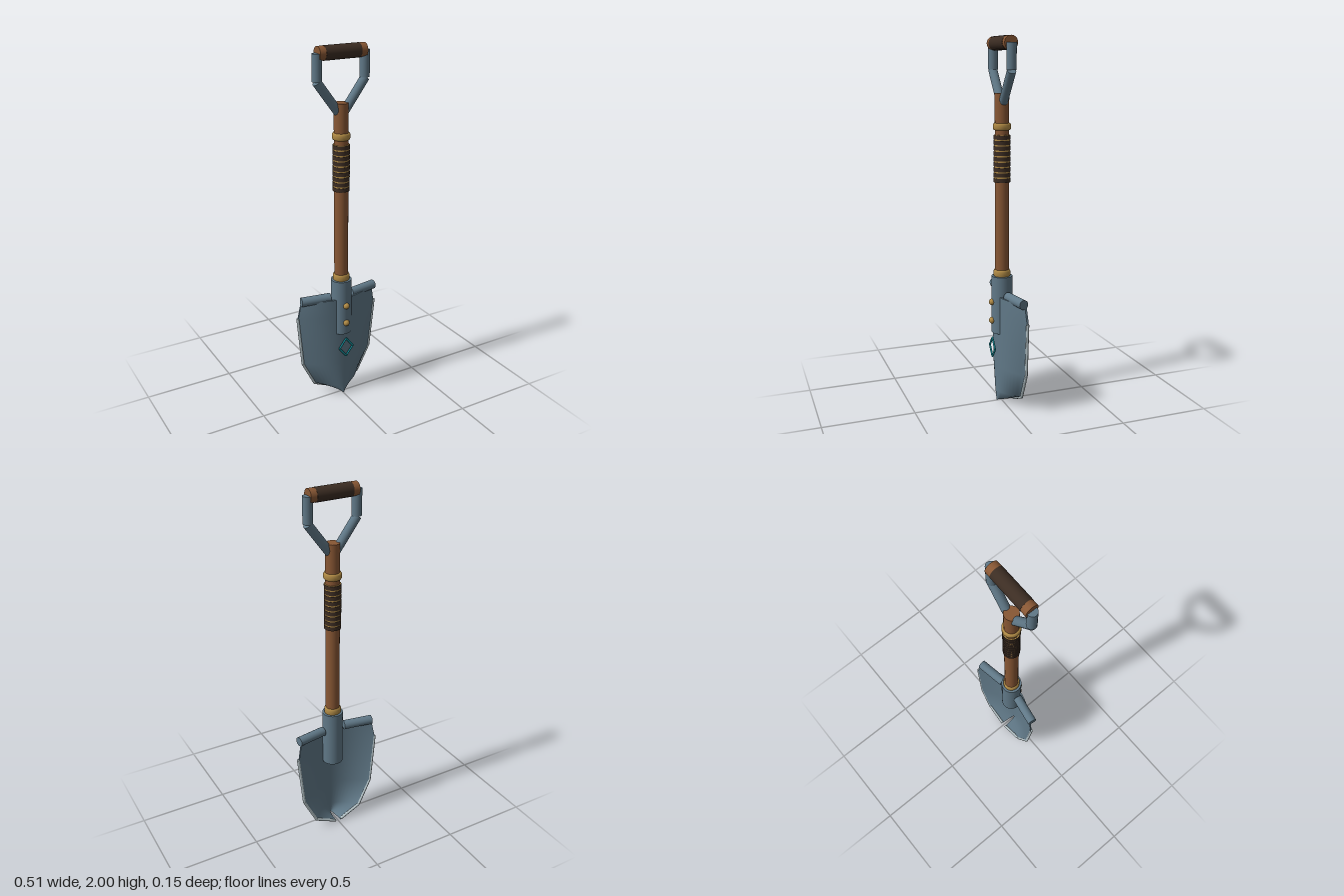
import * as THREE from 'three';

const mat = (name, color, side = THREE.FrontSide) => {
  const m = new THREE.MeshStandardMaterial({ color, side });
  m.name = name;
  return m;
};

export function createModel() {
  const steel = mat('steel', 0x607887);
  const edgeSteel = mat('edgeSteel', 0xb4c2c6);
  const wood = mat('wood', 0x885734);
  const leather = mat('leather', 0x3c2d23);
  const brass = mat('brass', 0xb08a45);
  const teal = mat('teal', 0x148c98);

  const model = new THREE.Group();
  model.name = 'shovel';
  const Z = -0.003; // axis of the shaft
  const V = (x, y, z = Z) => new THREE.Vector3(x, y, z);

  const add = (name, geometry, material) => {
    const mesh = new THREE.Mesh(geometry, material);
    mesh.name = name;
    model.add(mesh);
    return mesh;
  };
  // Straight round bar between two points
  const rod = (name, a, b, r, material, sides = 20) => {
    const d = b.clone().sub(a);
    const mesh = add(name, new THREE.CylinderGeometry(r, r, d.length(), sides), material);
    mesh.position.copy(a).add(b).multiplyScalar(0.5);
    mesh.quaternion.setFromUnitVectors(new THREE.Vector3(0, 1, 0), d.normalize());
    return mesh;
  };
  // Upright bar on the shaft axis
  const post = (name, y0, y1, r, material) => rod(name, V(0, y0), V(0, y1), r, material, 28);
  // Bevelled band around the shaft
  const collar = (name, y, r, h) => {
    const pts = [[0.036, -h], [r - 0.005, -h], [r, -h * 0.5], [r, h * 0.5], [r - 0.005, h], [0.036, h]];
    const geo = new THREE.LatheGeometry(pts.map(([x, py]) => new THREE.Vector2(x, py)), 28);
    add(name, geo, brass).position.set(0, y, Z);
  };

  // Blade: bowed cross-sections [y, half width, z of the edge], closed into a thin shell
  const rows = [[0.62, 0.225, -0.047], [0.52, 0.244, -0.053], [0.22, 0.215, -0.058],
    [0.07, 0.14, -0.062], [0.01, 0.014, -0.065]];
  const N = 20, thick = 0.01;
  const pos = [], idx = [];
  for (const back of [0, 1]) {
    for (const [y, w, ze] of rows) {
      for (let i = 0; i <= N; i++) {
        const u = (i / N) * 2 - 1;
        pos.push(u * w, y, 0.03 + (ze - 0.03) * u * u - back * thick);
      }
    }
  }
  const S = N + 1, B = rows.length * S;
  const quad = (a, b, c, d) => idx.push(a, b, c, a, c, d);
  for (let r = 0; r < rows.length - 1; r++) {
    for (let i = 0; i < N; i++) {
      const a = r * S + i, c = a + S;
      quad(a, c, c + 1, a + 1);
      quad(B + a, B + a + 1, B + c + 1, B + c);
    }
  }
  const bladeGeo = new THREE.BufferGeometry();
  bladeGeo.setAttribute('position', new THREE.Float32BufferAttribute(pos, 3));
  bladeGeo.setIndex(idx);
  bladeGeo.computeVertexNormals();
  add('blade', bladeGeo, steel);

  // Rim closing the gap between the two blade skins
  const loop = [];
  for (let i = 0; i < N; i++) loop.push(i);
  for (let r = 0; r < rows.length - 1; r++) loop.push(r * S + N);
  for (let i = N; i > 0; i--) loop.push((rows.length - 1) * S + i);
  for (let r = rows.length - 1; r > 0; r--) loop.push(r * S);
  const rim = [];
  loop.forEach((a, k) => {
    const b = loop[(k + 1) % loop.length];
    for (const v of [a, b, B + b, a, B + b, B + a]) rim.push(...pos.slice(v * 3, v * 3 + 3));
  });
  const rimGeo = new THREE.BufferGeometry();
  rimGeo.setAttribute('position', new THREE.Float32BufferAttribute(rim, 3));
  rimGeo.computeVertexNormals();
  const rimMesh = add('bladeRim', rimGeo, steel);
  // Outward winding: front edge to back edge runs clockwise around the outline
  rimMesh.material = steel;
  for (let t = 0, p = rimGeo.attributes.position; t < p.count; t += 3) {
    const n = new THREE.Vector3().fromBufferAttribute(rimGeo.attributes.normal, t);
    const c = new THREE.Vector3().fromBufferAttribute(p, t).sub(V(0, 0.35, 0));
    if (n.x * c.x + n.y * c.y < 0) {
      const b = new THREE.Vector3().fromBufferAttribute(p, t + 1);
      const d = new THREE.Vector3().fromBufferAttribute(p, t + 2);
      p.setXYZ(t + 1, d.x, d.y, d.z);
      p.setXYZ(t + 2, b.x, b.y, b.z);
    }
  }
  rimGeo.computeVertexNormals();

  for (const s of [1, -1]) {
    const side = s > 0 ? 'left' : 'right';
    // Sharpened edge
    const edge = [V(0.247, 0.52, -0.056), V(0.218, 0.22, -0.061), V(0.142, 0.068, -0.065), V(0.018, 0.012, -0.068)];
    edge.forEach((p) => { p.x *= s; });
    for (let i = 0; i < 3; i++) rod(side + 'CuttingEdge', edge[i], edge[i + 1], 0.008, edgeSteel, 10);
    // Rolled foot rest
    rod(side + 'FootRest', V(s * 0.066, 0.625, -0.012), V(s * 0.231, 0.625, -0.04), 0.026, steel);
    // Yoke arm and upright of the handle
    rod(side + 'YokeArm', V(s * 0.012, 1.655), V(s * 0.139, 1.825), 0.024, steel);
    rod(side + 'YokeUpright', V(s * 0.137, 1.828), V(s * 0.137, 1.965), 0.026, steel);
  }

  // Shaft, socket and collars
  post('socket', 0.41, 0.73, 0.057, steel);
  post('shaft', 0.7, 1.71, 0.038, wood);
  collar('lowerCollar', 0.745, 0.046, 0.021);
  collar('upperCollar', 1.538, 0.048, 0.018);

  // Bound hand hold: leather turns with brass thread between them
  post('bindingThread', 1.25, 1.495, 0.043, brass);
  const turns = 9, step = 0.255 / turns;
  for (let i = 0; i < turns; i++) {
    const y = 1.245 + i * step;
    post('leatherTurn', y, y + step - 0.007, 0.045, leather);
  }

  // Cross grip
  rod('grip', V(-0.135, 1.964), V(0.135, 1.964), 0.036, wood, 28);
  rod('gripWrap', V(-0.101, 1.964), V(0.101, 1.964), 0.037, leather, 28);

  // Rivets on the socket
  for (const y of [0.585, 0.48]) {
    add('rivet', new THREE.SphereGeometry(0.018, 18, 12), brass).position.set(0, y, 0.054);
  }

  // Diamond ornament
  const d = [V(0, 0.38, 0.053), V(0.043, 0.325, 0.053), V(0, 0.27, 0.053), V(-0.043, 0.325, 0.053)];
  d.forEach((p, i) => rod('diamondBar', p, d[(i + 1) % 4], 0.0055, teal, 10));

  return model;
}
